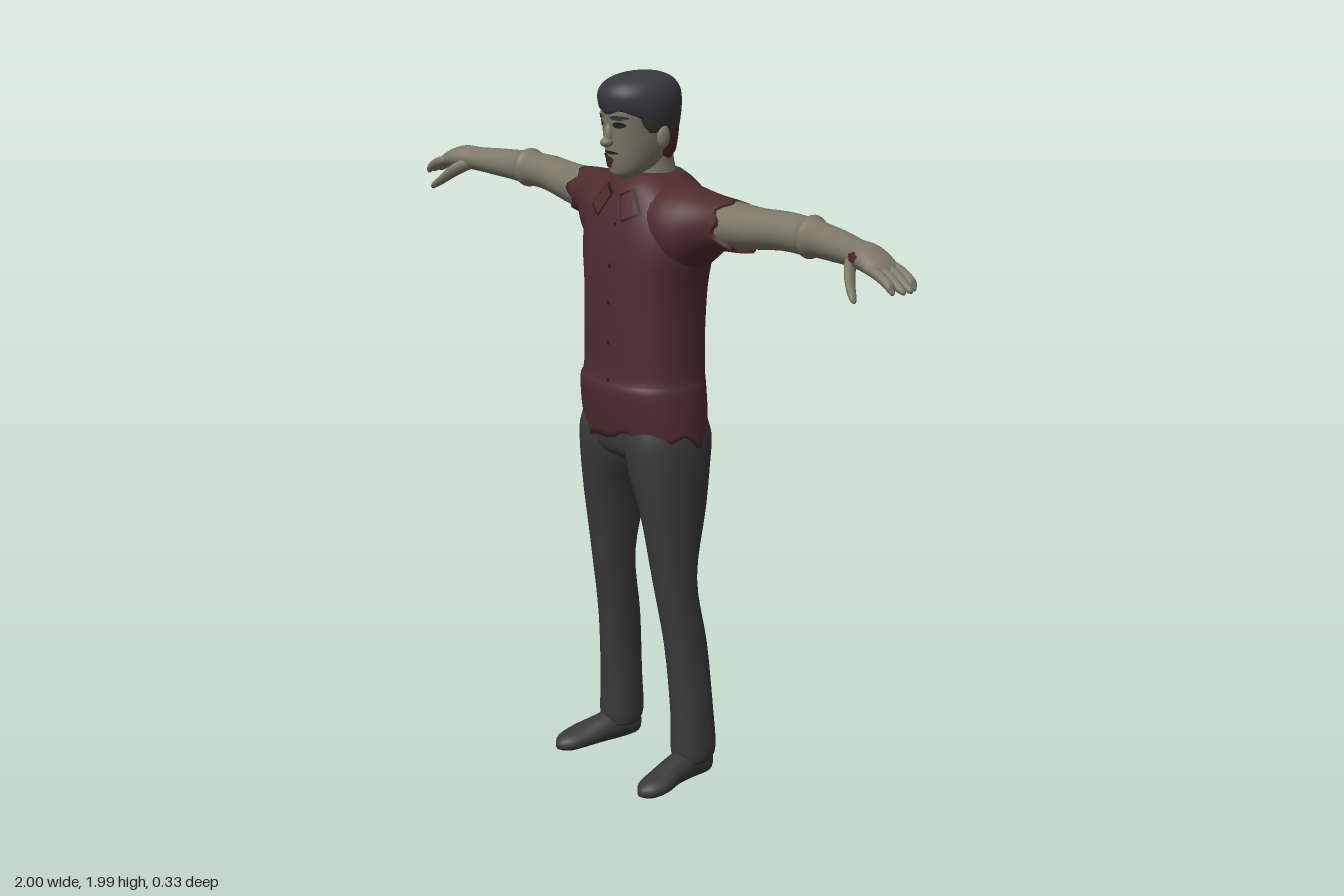
import * as THREE from 'three';

const mat = (name, color, side = THREE.FrontSide) => {
  const m = new THREE.MeshStandardMaterial({ color, side });
  m.name = name;
  return m;
};

// Smooth closed loft. Rows are [position along axis (ascending), centreA, centreB, radiusA, radiusB].
// The two other coordinates are A, B: (x,z) for axis y, (y,z) for axis x, (x,y) for axis z.
function loft(axis, rows, { power = 2, mirror = 1, sides = 32, steps = 4, rule } = {}) {
  const path = new THREE.CatmullRomCurve3(rows.map(r => new THREE.Vector3(r[0], r[1], r[2])), false, 'catmullrom', 0.5);
  const size = new THREE.CatmullRomCurve3(rows.map(r => new THREE.Vector3(r[3], r[4], 0)), false, 'catmullrom', 0.5);
  const rings = (rows.length - 1) * steps, pos = [], idx = [];
  const place = (p, a, b) => axis === 'y' ? new THREE.Vector3(a, p, b)
    : axis === 'x' ? new THREE.Vector3(p, a, b) : new THREE.Vector3(a, b, p);
  const round = t => Math.sign(t) * Math.abs(t) ** (2 / power);
  const push = p => pos.push(p.x * mirror, p.y, p.z);
  for (let i = 0; i <= rings; i++) {
    const v = i / rings, c = path.getPoint(v), r = size.getPoint(v);
    for (let j = 0; j < sides; j++) {
      const u = j / sides * Math.PI * 2;
      const p = place(c.x, c.y + r.x * round(Math.cos(u)), c.z + r.y * round(Math.sin(u)));
      if (rule) rule(p, u, v);
      push(p);
    }
  }
  const flip = (axis === 'y') !== (mirror > 0);
  const tri = (a, b, c) => flip ? idx.push(a, c, b) : idx.push(a, b, c);
  for (let i = 0; i < rings; i++) for (let j = 0; j < sides; j++) {
    const k = (j + 1) % sides, a = i * sides + j, b = i * sides + k;
    tri(a, a + sides, b);
    tri(b, a + sides, b + sides);
  }
  // end caps
  const n = (rings + 1) * sides;
  for (const r of [rows[0], rows.at(-1)]) push(place(r[0], r[1], r[2]));
  for (let j = 0; j < sides; j++) {
    const k = (j + 1) % sides, top = rings * sides;
    tri(n, j, k);
    tri(n + 1, top + k, top + j);
  }
  const g = new THREE.BufferGeometry();
  g.setAttribute('position', new THREE.Float32BufferAttribute(pos, 3));
  g.setIndex(idx);
  g.computeVertexNormals();
  return g;
}

// Lays a flat front-facing shape onto the front of a mesh
function drape(geo, target, lift) {
  const ray = new THREE.Raycaster(), p = geo.attributes.position, back = new THREE.Vector3(0, 0, -1);
  let last = 0.1;
  for (let i = 0; i < p.count; i++) {
    ray.set(new THREE.Vector3(p.getX(i), p.getY(i), 1), back);
    const hit = ray.intersectObject(target)[0];
    if (hit) last = hit.point.z;
    p.setZ(i, last + lift);
  }
  geo.computeVertexNormals();
  return geo;
}

// Subdivided four-cornered patch: top left, top right, bottom right, bottom left
function quad(tl, tr, br, bl) {
  const g = new THREE.PlaneGeometry(1, 1, 8, 8), p = g.attributes.position, mix = THREE.MathUtils.lerp;
  for (let i = 0; i < p.count; i++) {
    const u = p.getX(i) + 0.5, v = 0.5 - p.getY(i);
    p.setXY(i, mix(mix(tl[0], tr[0], u), mix(bl[0], br[0], u), v), mix(mix(tl[1], tr[1], u), mix(bl[1], br[1], u), v));
  }
  return g;
}

const disc = (x, y, rx, ry, rough = 0) => {
  const g = new THREE.CircleGeometry(1, 20), p = g.attributes.position;
  for (let i = 1; i < p.count; i++) {
    const s = 1 + rough * Math.sin((i - 1) / 20 * Math.PI * 10);
    p.setXY(i, p.getX(i) * s, p.getY(i) * s);
  }
  return g.scale(rx, ry, 1).translate(x, y, 0);
};
const ball = (x, y, z, rx, ry, rz) => new THREE.SphereGeometry(1, 20, 14).scale(rx, ry, rz).translate(x, y, z);

export function createModel() {
  const model = new THREE.Group();
  model.name = 'standingMan';
  const shirt = mat('shirtRed', 0x4f2c2e), seam = mat('seamDarkRed', 0x2b1718), skin = mat('skin', 0x7b7868);
  const cloth = mat('trouserCharcoal', 0x3a3a3a), hair = mat('hairCharcoal', 0x37383a), dark = mat('eyeDark', 0x222120);
  const blood = mat('stainRed', 0x4c2626);
  const add = (name, geo, material) => {
    const m = new THREE.Mesh(geo, material);
    m.name = name;
    model.add(m);
    return m;
  };

  // Shirt body with ragged hem
  const torso = add('shirtBody', loft('y', [
    [1.01, 0, -0.008, 0.199, 0.135], [1.08, 0, -0.004, 0.196, 0.144], [1.15, 0, 0, 0.188, 0.148],
    [1.185, 0, -0.005, 0.179, 0.144], [1.3, 0, -0.006, 0.176, 0.144], [1.42, 0, -0.01, 0.18, 0.146],
    [1.52, 0, -0.017, 0.198, 0.147], [1.6, 0, -0.027, 0.198, 0.141], [1.66, 0, -0.035, 0.165, 0.125],
    [1.7, 0, -0.035, 0.11, 0.105], [1.725, 0, -0.037, 0.07, 0.075]], {
    power: 2.3, sides: 48,
    rule: (p, u, v) => { if (v < 0.06) p.y += (1 - v / 0.06) * (0.018 * Math.sin(u * 6) + 0.01 * Math.sin(u * 11 + 1)); },
  }), shirt);

  // Trouser seat
  add('trouserSeat', loft('y', [[0.935, 0, -0.008, 0.08, 0.08], [0.965, 0, -0.008, 0.17, 0.12],
    [1.03, 0, -0.008, 0.193, 0.13], [1.1, 0, -0.006, 0.188, 0.132]], { power: 2.2 }), cloth);

  for (const s of [1, -1]) {
    const side = s > 0 ? 'left' : 'right';
    // Trouser leg
    add(side + 'TrouserLeg', loft('y', [
      [0.05, 0.165, -0.05, 0.05, 0.058], [0.09, 0.165, -0.052, 0.057, 0.066], [0.2, 0.162, -0.048, 0.053, 0.063],
      [0.4, 0.151, -0.033, 0.051, 0.063], [0.6, 0.138, -0.003, 0.055, 0.064], [0.8, 0.127, -0.005, 0.069, 0.1],
      [0.92, 0.108, -0.006, 0.09, 0.121], [1.0, 0.1, -0.008, 0.096, 0.129], [1.05, 0.095, -0.008, 0.09, 0.12]],
    { mirror: s, power: 2.2 }), cloth);
    // Shoe, flat underneath
    add(side + 'Shoe', loft('z', [
      [-0.11, 0.165, 0.035, 0.02, 0.03], [-0.09, 0.165, 0.04, 0.037, 0.045], [-0.03, 0.167, 0.042, 0.04, 0.048],
      [0.03, 0.175, 0.036, 0.043, 0.04], [0.09, 0.188, 0.025, 0.047, 0.031], [0.14, 0.192, 0.018, 0.036, 0.024],
      [0.165, 0.192, 0.014, 0.01, 0.01]], { mirror: s, rule: p => { p.y = Math.max(0, p.y); } }), cloth);
    // Sleeve with torn edge
    add(side + 'Sleeve', loft('x', [
      [0.05, 1.61, -0.03, 0.095, 0.11], [0.13, 1.6, -0.035, 0.106, 0.12], [0.18, 1.592, -0.038, 0.108, 0.113],
      [0.23, 1.608, -0.047, 0.084, 0.093], [0.27, 1.617, -0.054, 0.071, 0.082], [0.31, 1.62, -0.057, 0.066, 0.076]], {
      mirror: s,
      rule: (p, u, v) => {
        if (v > 0.85) p.x += (v - 0.85) / 0.15 * (0.015 * Math.sin(u * 6) + (s > 0 ? 0.045 * Math.max(0, -Math.cos(u)) : 0));
      },
    }), shirt);
    // Arm, cuff ridge and palm
    add(side + 'Arm', loft('x', [
      [0.2, 1.605, -0.05, 0.07, 0.075], [0.3, 1.62, -0.057, 0.062, 0.071], [0.4, 1.627, -0.06, 0.054, 0.062],
      [0.5, 1.637, -0.064, 0.05, 0.055], [0.58, 1.638, -0.062, 0.049, 0.05], [0.6, 1.64, -0.06, 0.056, 0.054],
      [0.63, 1.64, -0.055, 0.046, 0.047], [0.72, 1.64, -0.04, 0.04, 0.047], [0.8, 1.641, -0.018, 0.034, 0.044],
      [0.86, 1.641, -0.004, 0.033, 0.05], [0.91, 1.627, 0.002, 0.025, 0.048], [0.935, 1.615, 0.003, 0.014, 0.04]],
    { mirror: s }), skin);
    // Curled fingers
    for (let f = 0; f < 4; f++) {
      const z = -0.033 + f * 0.024, tip = 0.995 - (f % 3 ? 0 : 0.012);
      add(side + 'Finger' + (f + 1), loft('x', [[0.89, 1.632, z, 0.013, 0.013], [0.94, 1.617, z, 0.014, 0.0135],
        [0.975, 1.598, z, 0.013, 0.013], [tip, 1.587, z, 0.008, 0.008], [tip + 0.005, 1.585, z, 0.002, 0.002]],
      { mirror: s, sides: 12 }), skin);
    }
    add(side + 'Thumb', loft('x', [[0.8, 1.635, 0, 0.018, 0.02], [0.84, 1.61, 0.04, 0.02, 0.02],
      [0.875, 1.577, 0.068, 0.014, 0.015], [0.897, 1.56, 0.08, 0.01, 0.01], [0.904, 1.555, 0.083, 0.002, 0.002]],
    { mirror: s, sides: 14 }), skin);
    // Collar flap with dark border
    const pts = [[-0.055, 1.692], [-0.018, 1.672], [-0.05, 1.612], [-0.102, 1.635]];
    const flap = k => {
      const c = pts.map(([x, y]) => [-s * (-0.056 + (x + 0.056) * k), 1.653 + (y - 1.653) * k]);
      return s < 0 ? quad(...c) : quad(c[1], c[0], c[3], c[2]);
    };
    add(side + 'CollarBorder', drape(flap(1.12), torso, 0.004), seam);
    add(side + 'CollarFlap', drape(flap(0.92), torso, 0.007), shirt);
  }

  // Shirt buttons
  for (const y of [1.6, 1.49, 1.39, 1.28, 1.175]) add('button', drape(disc(0.027, y, 0.006, 0.006), torso, 0.003), seam);

  // Neck and head
  add('neck', loft('y', [[1.66, 0, -0.045, 0.07, 0.065], [1.715, 0, -0.04, 0.062, 0.06],
    [1.76, 0, -0.032, 0.058, 0.057], [1.83, 0, -0.025, 0.06, 0.06]]), skin);
  const head = add('head', loft('y', [
    [1.716, 0, 0.06, 0.018, 0.018], [1.728, 0, 0.055, 0.04, 0.042], [1.755, 0, 0.03, 0.06, 0.076],
    [1.8, 0, 0.012, 0.074, 0.1], [1.85, 0, 0.008, 0.082, 0.108], [1.9, 0, 0.01, 0.087, 0.11],
    [1.945, 0, 0.006, 0.08, 0.1], [1.975, 0, 0.004, 0.045, 0.06]], { power: 2.15 }), skin);

  // Hair cap: high hairline over the face, low at sideburns and nape
  add('hair', loft('y', [
    [1.835, 0, 0, 0.079, 0.1], [1.85, 0, 0.002, 0.088, 0.106], [1.9, 0, 0.008, 0.098, 0.116],
    [1.94, 0, 0.012, 0.095, 0.118], [1.97, 0, 0.01, 0.075, 0.097], [1.987, 0, 0.006, 0.04, 0.055],
    [1.992, 0, 0.005, 0.005, 0.006]], {
    sides: 48,
    rule: (p, u) => {
      const k = THREE.MathUtils.smoothstep(Math.sin(u), 0.4, 0.65);
      p.y = Math.max(p.y, 1.835 + k * (0.058 + 0.006 * Math.sin(u * 7)));
    },
  }), hair);
  // Stained nape
  add('napeStain', loft('y', [[1.768, 0, -0.03, 0.058, 0.061], [1.785, 0, -0.027, 0.068, 0.068],
    [1.82, 0, -0.026, 0.075, 0.074], [1.85, 0, -0.026, 0.077, 0.077]],
  { rule: (p, u, v) => { if (v < 0.1) p.y += 0.006 * Math.sin(u * 6); } }), blood);

  // Face
  add('nose', ball(0, 1.832, 0.115, 0.013, 0.03, 0.013), skin);
  add('noseTip', ball(0, 1.815, 0.12, 0.017, 0.013, 0.019), skin);
  add('chin', ball(0, 1.738, 0.08, 0.03, 0.018, 0.022), skin);
  for (const s of [1, -1]) {
    add('ear', ball(s * 0.084, 1.828, -0.002, 0.013, 0.032, 0.02), skin);
    add('eye', drape(disc(s * 0.036, 1.862, 0.017, 0.008), head, 0.002), dark);
    add('eyebrow', drape(disc(s * 0.038, 1.881, 0.024, 0.006), head, 0.004), hair);
  }
  add('mouth', drape(disc(0.004, 1.787, 0.026, 0.004), head, 0.003), seam);
  add('chinStain', drape(disc(-0.017, 1.763, 0.03, 0.019, 0.15), head, 0.004), blood);
  // Stain on the left wrist
  add('wristStain', drape(disc(0.85, 1.648, 0.018, 0.012, 0.15), model.getObjectByName('leftArm'), 0.004), blood);

  return model;
}
